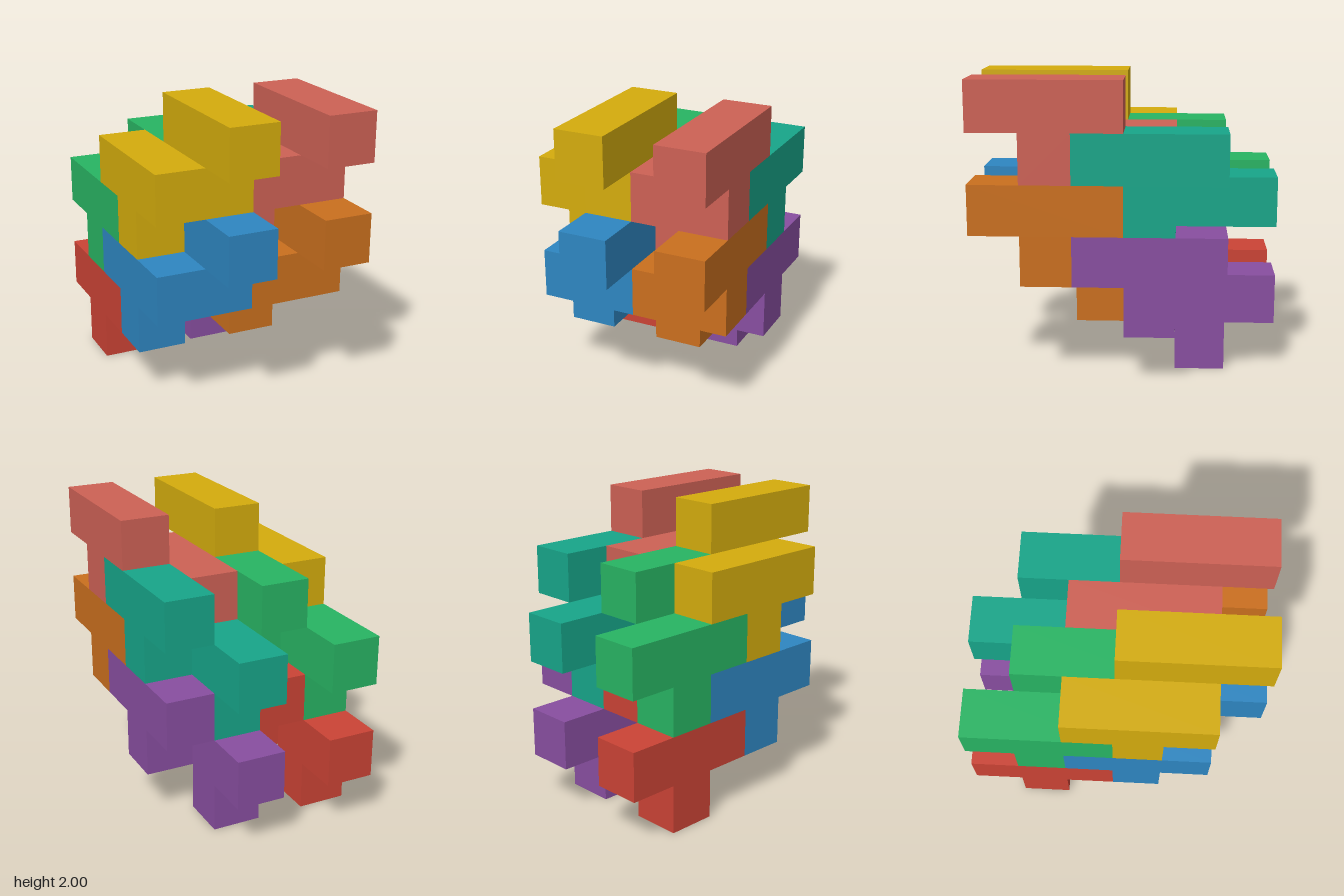
import * as THREE from 'three';

const U = 1 / 3; // edge of one cube cell

// T-shaped slab, one cell thick: a bar of three cells with a stem below its middle.
// Origin at the low x, stem-bottom, low z corner.
function makeSlabGeometry() {
  const outline = [[1, 0], [2, 0], [2, 1], [3, 1], [3, 2], [0, 2], [0, 1], [1, 1]];
  const shape = new THREE.Shape(outline.map(([z, y]) => new THREE.Vector2(z * U, y * U)));
  const geometry = new THREE.ExtrudeGeometry(shape, { depth: U, bevelEnabled: false });
  return geometry.rotateY(-Math.PI / 2).translate(U, 0, 0);
}

// One puzzle piece: two T slabs side by side, the outer one a step higher and further forward.
function makePiece(name, color, slab) {
  const piece = new THREE.Group();
  piece.name = name;
  const material = new THREE.MeshStandardMaterial({ color });
  for (const step of [0, 1]) {
    const mesh = new THREE.Mesh(slab, material);
    mesh.name = step ? 'upperSlab' : 'lowerSlab';
    mesh.position.set(step * U, step * U, step * U);
    piece.add(mesh);
  }
  return piece;
}

export function createModel() {
  const model = new THREE.Group();
  model.name = 'interlockingPuzzle';
  const slab = makeSlabGeometry();

  // Cell position (y, z) of each layer, with its colour in the right and left column
  const layers = [
    { name: 'bottomBack', y: 0, z: 0, colors: [0xcb4335, 0x884ea0] },
    { name: 'lowerFront', y: 1, z: 2, colors: [0x2e86c1, 0xca6f1e] },
    { name: 'upperBack', y: 2, z: 0, colors: [0x28b463, 0x17a589] },
    { name: 'topFront', y: 3, z: 2, colors: [0xd4ac0d, 0xcd6155] },
  ];
  for (const { name, y, z, colors } of layers) {
    colors.forEach((color, column) => {
      const piece = makePiece(name + (column ? 'LeftPiece' : 'RightPiece'), color, slab);
      piece.position.set((column * 2 - 2) * U, y * U, z * U - 1);
      model.add(piece);
    });
  }
  return model;
}
